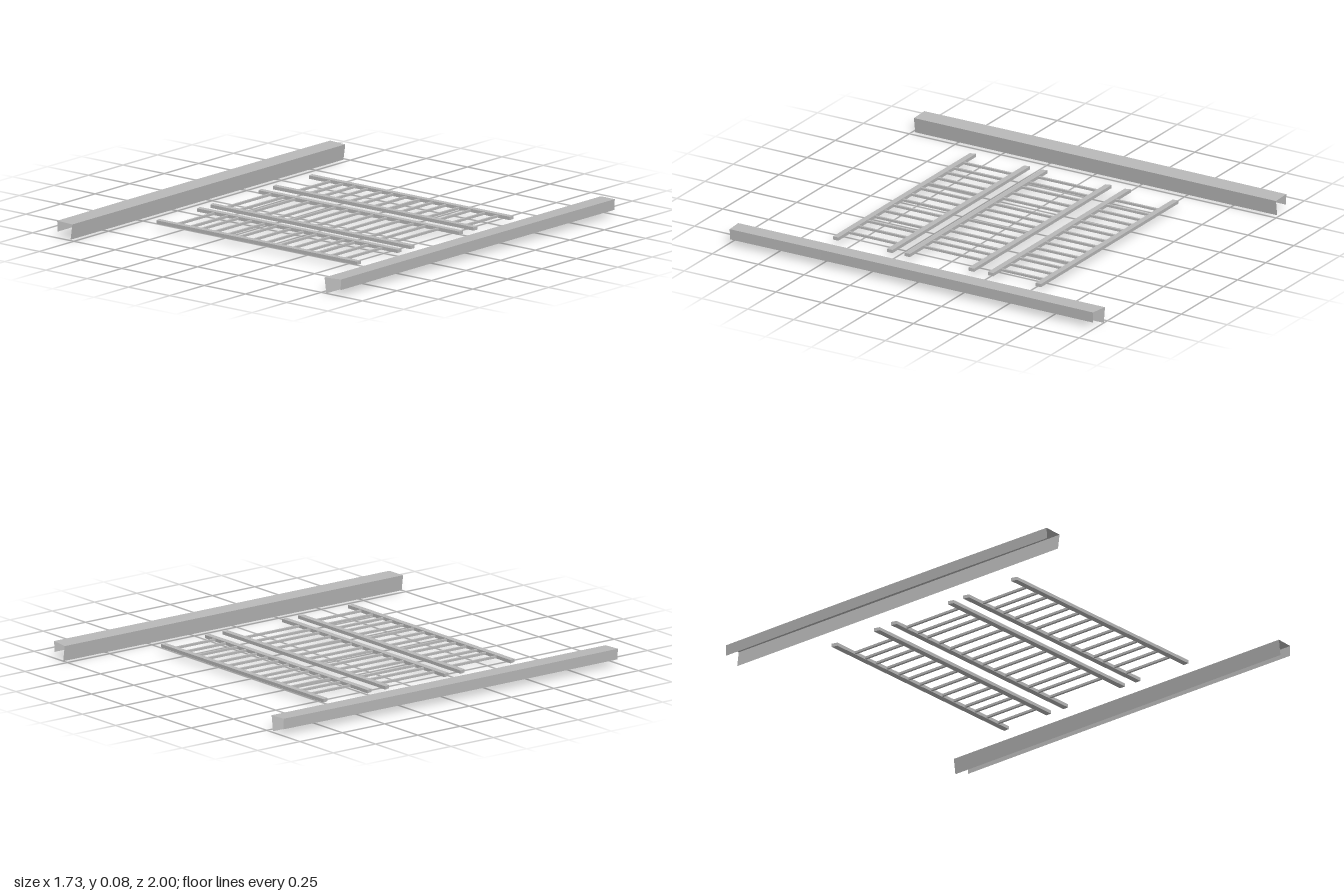
import * as THREE from 'three';

const steel = new THREE.MeshStandardMaterial({ color: 0xb8b8b8 });
steel.name = 'grey steel';
const sheetSteel = steel.clone();
sheetSteel.name = 'grey sheet steel';
sheetSteel.side = THREE.DoubleSide;

// Open folded-sheet channel: sections run along z, each from inner lip over the top to outer lip
function channel(side, halfInner, halfOuter, bow) {
  const sections = [-1, -0.5, 0, 0.5, 1].map((t) => {
    const out = 0.862 + bow * (1 - t * t);
    return [
      [0.781, 0.003, t * halfInner],
      [0.77, 0.075, t * halfInner],
      [out, 0.078, t * halfOuter],
      [out - 0.003, 0.026, t * halfOuter],
    ].map(([x, y, z]) => [side * x, y, z]);
  });
  const positions = [];
  for (let i = 0; i < sections.length - 1; i++) {
    for (let j = 0; j < 3; j++) {
      const a = sections[i][j], b = sections[i + 1][j];
      const c = sections[i + 1][j + 1], d = sections[i][j + 1];
      const quad = side > 0 ? [a, b, c, a, c, d] : [a, c, b, a, d, c];
      quad.forEach((p) => positions.push(p[0], p[1] - 0.003 * (j === 0 && p[1] < 0.01), p[2]));
    }
  }
  const geometry = new THREE.BufferGeometry();
  geometry.setAttribute('position', new THREE.Float32BufferAttribute(positions, 3));
  geometry.computeVertexNormals();
  return new THREE.Mesh(geometry, sheetSteel);
}

// Long rail with a slanted left end
function rail(z) {
  const w = 0.0145;
  const shape = new THREE.Shape([
    new THREE.Vector2(-0.61, -w),
    new THREE.Vector2(0.613, -w),
    new THREE.Vector2(0.613, w),
    new THREE.Vector2(-0.602, w),
  ]);
  const geometry = new THREE.ExtrudeGeometry(shape, { depth: 0.016, bevelEnabled: false });
  geometry.rotateX(Math.PI / 2);
  const mesh = new THREE.Mesh(geometry, steel);
  mesh.position.set(0, 0.043, z);
  mesh.name = 'rail';
  return mesh;
}

// Two rails joined by slightly uneven rungs
function ladder(name, zBack, zFront, rungXs) {
  const group = new THREE.Group();
  group.name = name;
  group.add(rail(zBack), rail(zFront));
  const length = zFront - zBack - 0.024;
  for (const x of rungXs) {
    const rung = new THREE.Mesh(new THREE.BoxGeometry(0.011, 0.011, length), steel);
    rung.position.set(x, 0.035, (zBack + zFront) / 2);
    rung.name = 'rung';
    group.add(rung);
  }
  return group;
}

export function createModel() {
  const model = new THREE.Group();
  model.name = 'ladderSet';

  // Side channels
  const left = channel(1, 1, 0.99, -0.003);
  left.name = 'leftChannel';
  const right = channel(-1, 0.987, 0.987, 0.006);
  right.name = 'rightChannel';
  model.add(left, right);

  // Three ladders lying between the channels
  model.add(
    ladder('backLadder', -0.54, -0.28,
      [-0.475, -0.4, -0.325, -0.25, -0.165, -0.095, -0.015, 0.065, 0.145, 0.225, 0.305, 0.375, 0.46, 0.54]),
    ladder('middleLadder', -0.175, 0.175,
      [-0.53, -0.45, -0.385, -0.3, -0.22, -0.14, -0.065, 0.01, 0.09, 0.17, 0.25, 0.335, 0.405, 0.485]),
    ladder('frontLadder', 0.27, 0.565,
      [-0.5, -0.42, -0.355, -0.275, -0.195, -0.125, -0.04, 0.04, 0.12, 0.2, 0.285, 0.35, 0.43, 0.515]),
  );
  return model;
}
